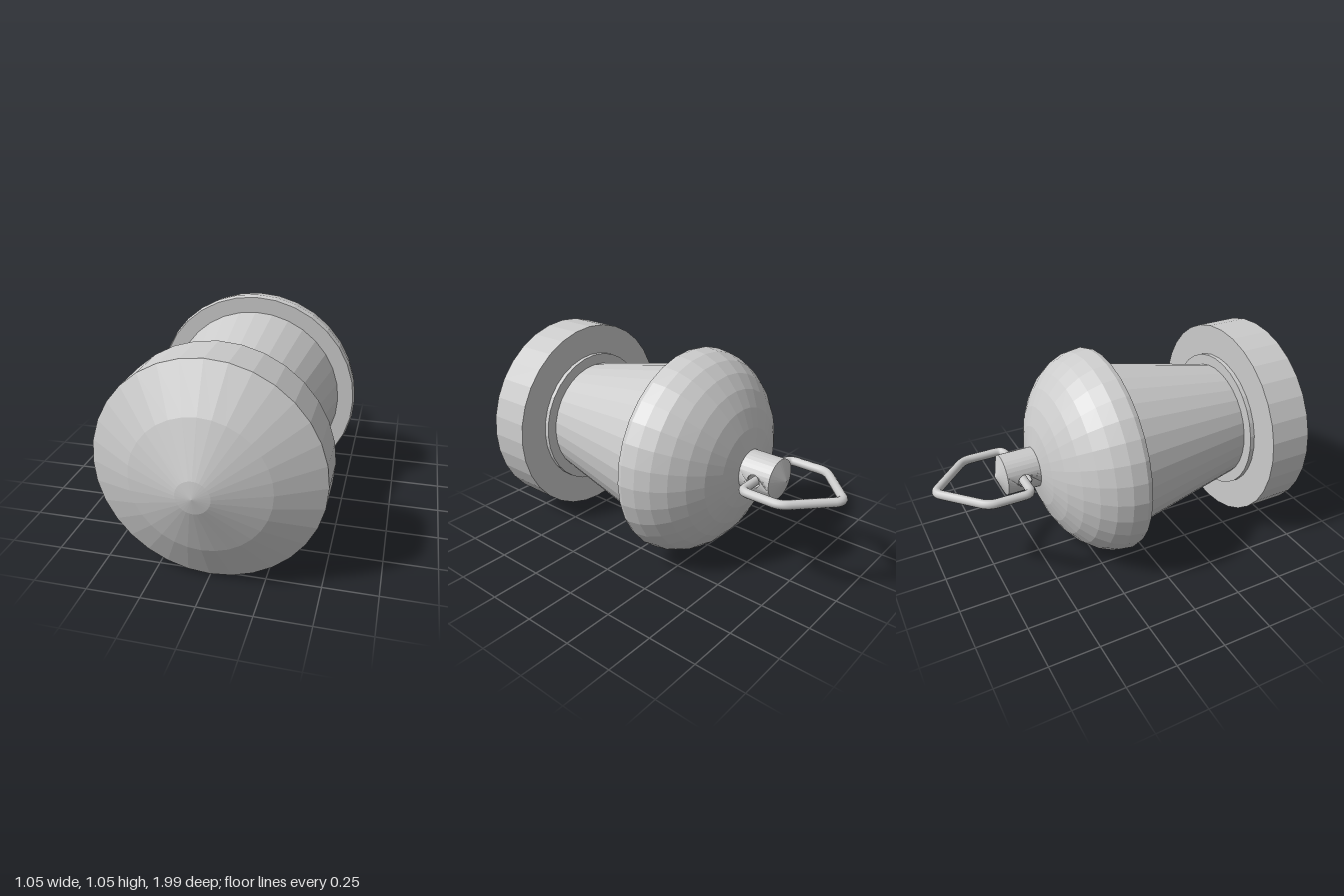
import * as THREE from 'three';

const AXIS_Y = 0.525;
const SIDES = 32;

export function createModel() {
  const model = new THREE.Group();
  const flat = new THREE.MeshStandardMaterial({ color: 0xcccccc, flatShading: true });
  const smooth = new THREE.MeshStandardMaterial({ color: 0xcccccc });
  const inside = new THREE.MeshStandardMaterial({ color: 0xcccccc, side: THREE.BackSide });

  const add = (name, geometry, material, parent = model) => {
    const mesh = new THREE.Mesh(geometry, material);
    mesh.name = name;
    parent.add(mesh);
    return mesh;
  };
  // Turned part: profile of [radius, z] with rising z, spun about the z axis
  const turned = (profile, start = 0, length = Math.PI * 2, sides = SIDES) =>
    new THREE.LatheGeometry(profile.map(([r, z]) => new THREE.Vector2(r, z)), sides, start, length)
      .rotateX(Math.PI / 2);

  // Conical front cap with a straight rim
  add('frontCap', turned([[0, 0.57], [0.515, 0.57], [0.515, 0.785], [0.31, 0.895], [0.075, 0.983], [0, 0.997]]), flat);
  // Thin collar behind the cap
  add('collar', turned([[0, 0.547], [0.36, 0.547], [0.36, 0.57]]), flat);
  // Tapered body
  add('body', turned([[0.44, -0.115], [0.305, 0.55]]), flat);

  // Rounded dome at the back, flat on its front side
  const dome = [];
  for (let i = 0; i <= 8; i++) {
    const a = (i / 8) * Math.PI / 2;
    dome.push([0.525 * Math.sin(a), -0.135 - 0.363 * Math.cos(a)]);
  }
  dome.push([0.517, -0.11], [0, -0.11]);
  add('dome', turned(dome), flat);

  // Knob with a pointed end and a cross hole for the wire
  const knob = new THREE.Group();
  knob.name = 'knob';
  model.add(knob);
  const R = 0.1, Z0 = -0.655, Z1 = -0.485, HOLE_Z = -0.573, HOLE_R = 0.033, HALF = Math.PI / 8;
  add('knobTip', turned([[0, -0.692], [R, Z0]]), flat, knob);
  for (const side of [0, 1]) {
    // Plain wall above and below the holes
    add('knobWall', turned([[R, Z0], [R, Z1]], HALF + side * Math.PI + Math.PI / 2, Math.PI - 2 * HALF, 12), flat, knob);
    // Flat panel with a hole, bent round the knob
    const panel = new THREE.Shape();
    const w = HALF * R;
    panel.moveTo(-w, Z0);
    for (let i = -1; i <= 2; i++) panel.lineTo(w * i / 2, Z0);
    for (let i = 2; i >= -2; i--) panel.lineTo(w * i / 2, Z1);
    const hole = new THREE.Path();
    hole.absarc(0, HOLE_Z, HOLE_R, 0, Math.PI * 2, true);
    panel.holes.push(hole);
    const g = new THREE.ShapeGeometry(panel, 10);
    const p = g.attributes.position;
    for (let i = 0; i < p.count; i++) {
      const a = p.getX(i) / R + side * Math.PI;
      p.setXYZ(i, R * Math.cos(a), R * Math.sin(a), p.getY(i));
    }
    g.computeVertexNormals();
    add('knobHolePanel', g, flat, knob);
  }
  const bore = new THREE.CylinderGeometry(HOLE_R, HOLE_R, 0.188, 20, 1, true).rotateZ(Math.PI / 2);
  bore.translate(0, 0, HOLE_Z);
  add('knobBore', bore, inside, knob);

  // House-shaped wire loop with softly rounded corners
  const corners = [[0.21, -0.578], [0.21, -0.785], [0, -0.985], [-0.21, -0.785], [-0.21, -0.578]]
    .map(([x, z]) => new THREE.Vector3(x, 0, z));
  const path = new THREE.CurvePath();
  let last = new THREE.Vector3(0, 0, -0.578);
  const start = last;
  corners.forEach((c, i) => {
    const next = corners[i + 1] || start;
    const before = c.clone().add(last.clone().sub(c).setLength(0.04));
    const after = c.clone().add(next.clone().sub(c).setLength(0.04));
    path.add(new THREE.LineCurve3(last, before));
    path.add(new THREE.QuadraticBezierCurve3(before, c, after));
    last = after;
  });
  path.add(new THREE.LineCurve3(last, start));
  add('wireLoop', new THREE.TubeGeometry(path, 120, 0.022, 12, true), smooth);

  model.children.forEach((part) => { part.position.y = AXIS_Y; });
  return model;
}
